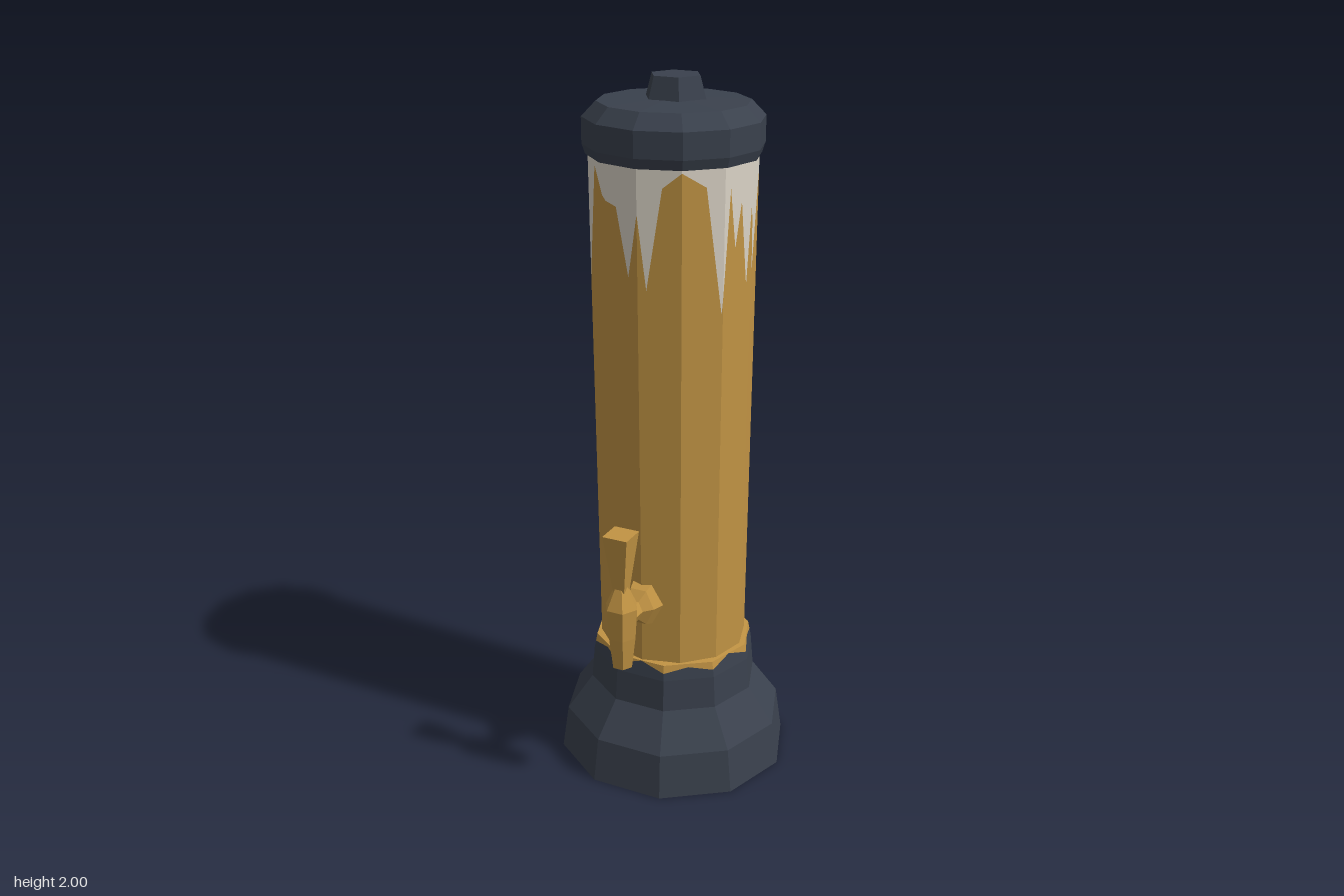
import * as THREE from 'three';

const mat = (name, color) => {
  const m = new THREE.MeshStandardMaterial({ color, flatShading: true, side: THREE.DoubleSide });
  m.name = name;
  return m;
};

export function createModel() {
  const amber = mat('amber', 0xc29444);
  const dark = mat('dark slate', 0x3a414d);
  const foam = mat('foam', 0xdcd5c8);
  const model = new THREE.Group();
  const tower = new THREE.Group();
  tower.name = 'tower';
  tower.position.z = -0.027;
  tower.scale.z = 0.965;
  model.add(tower);

  const add = (parent, name, geo, material) => {
    const mesh = new THREE.Mesh(geo, material);
    mesh.name = name;
    parent.add(mesh);
    return mesh;
  };
  const lathe = (pts, n, start = Math.PI / 2) =>
    new THREE.LatheGeometry(pts.map(p => new THREE.Vector2(...p)), n, start);

  // Point on the wall of an n-sided prism at an angle measured from the front
  const wall = (deg, y, n, r) => {
    const step = 360 / n, from = 90 + Math.floor((deg - 90) / step + 1e-6) * step;
    const t = (deg - from) / step;
    const a = THREE.MathUtils.degToRad(from), b = THREE.MathUtils.degToRad(from + step);
    return [
      r * THREE.MathUtils.lerp(Math.sin(a), Math.sin(b), t), y,
      r * THREE.MathUtils.lerp(Math.cos(a), Math.cos(b), t)];
  };

  // Jagged outline as [angle, height] pairs, with the prism corners merged in
  const outline = (points, n) => {
    const first = points[0], loop = [...points, [first[0] + 360, first[1]]];
    const out = [...loop];
    for (let k = -2 * n; k < 2 * n; k++) {
      const deg = 90 + k * 360 / n;
      const i = loop.findIndex((p, j) => j + 1 < loop.length && p[0] < deg && loop[j + 1][0] > deg);
      if (i < 0) continue;
      const [p, q] = [loop[i], loop[i + 1]];
      out.push([deg, THREE.MathUtils.lerp(p[1], q[1], (deg - p[0]) / (q[0] - p[0]))]);
    }
    return out.sort((p, q) => p[0] - q[0]);
  };

  // Wall strip between two heights, each a function of the outline height
  const strip = (line, n, low, high, radius) => {
    const pos = [];
    const at = (p, f) => wall(p[0], f(p[1]), n, radius(f(p[1])));
    for (let i = 0; i + 1 < line.length; i++) {
      const [p, q] = [line[i], line[i + 1]];
      const a = at(p, low), b = at(q, low), c = at(q, high), d = at(p, high);
      pos.push(...a, ...b, ...c, ...a, ...c, ...d);
    }
    const g = new THREE.BufferGeometry();
    g.setAttribute('position', new THREE.Float32BufferAttribute(pos, 3));
    g.computeVertexNormals();
    return g;
  };

  // Flared foot
  add(tower, 'base', lathe([[0, 0], [0.343, 0], [0.324, 0.13], [0.248, 0.235], [0.24, 0.33]], 10), dark);

  // Ragged rim where the foot meets the tube
  const rim = [];
  for (let i = 0; i < 20; i++) rim.push([i * 18 - 180, i % 2 ? 0.352 : (i % 4 ? 0.375 : 0.366)]);
  const rimLine = outline(rim, 10), rimRadius = y => 0.24 - (y - 0.33) * 0.2;
  add(tower, 'baseRim', strip(rimLine, 10, () => 0.33, y => y, rimRadius), dark);
  add(tower, 'tubeCollar', strip(rimLine, 10, y => y, () => 0.376, rimRadius), amber);
  add(tower, 'collarTop', lathe([[0.231, 0.376], [0.19, 0.378]], 10), amber);

  // Tube with foam running down in pointed drips
  const drips = outline([
    [-177, 1.53], [-165, 1.76], [-156, 1.79], [-147, 1.73], [-136, 1.4], [-127, 1.71], [-113, 1.46],
    [-106, 1.72], [-100, 1.56], [-94, 1.72], [-86, 1.5], [-77, 1.74], [-60, 1.47], [-45, 1.78],
    [-27, 1.7], [-18, 1.69], [-8, 1.51], [0, 1.68], [6, 1.48], [17, 1.75], [30, 1.79],
    [47, 1.75], [59, 1.41], [66, 1.74], [72, 1.58], [78, 1.7], [85, 1.47], [89, 1.68],
    [94, 1.5], [110, 1.66], [125, 1.8], [140, 1.72], [155, 1.6], [163, 1.75], [168, 1.55], [175, 1.74]], 12);
  const tubeRadius = y => 0.214 + 0.01 * (y - 0.37);
  add(tower, 'tube', strip(drips, 12, () => 0.36, y => y, tubeRadius), amber);
  add(tower, 'foamDrips', strip(drips, 12, y => y, () => 1.83, tubeRadius), foam);

  // Lid and knob
  add(tower, 'lid', lathe([[0, 1.82], [0.215, 1.81], [0.235, 1.798], [0.244, 1.825], [0.244, 1.895],
    [0.205, 1.935], [0, 1.945]], 12), dark);
  const knob = add(tower, 'lidKnob', lathe([[0.09, 1.93], [0.07, 2], [0, 2]], 6), dark);
  knob.position.z = -0.012;

  // Tap: horizontal stem, then upright valve and handle
  const tap = new THREE.Group();
  tap.name = 'tap';
  model.add(tap);
  const stem = add(tap, 'tapStem', lathe([[0, 0.16], [0.078, 0.16], [0.06, 0.2], [0.032, 0.225],
    [0.03, 0.3], [0, 0.3]], 6), amber);
  stem.rotation.x = Math.PI / 2;
  stem.position.y = 0.56;
  stem.scale.x = 0.8;
  const valve = add(tap, 'tapValve', lathe([[0, 0.425], [0.03, 0.425], [0.042, 0.52], [0.048, 0.61],
    [0.018, 0.675], [0, 0.675]], 6), amber);
  valve.position.z = 0.302;
  const handle = add(tap, 'tapHandle', lathe([[0, 0.66], [0.024, 0.66], [0.052, 0.83], [0, 0.83]], 4, Math.PI / 4), amber);
  handle.position.z = 0.302;
  return model;
}
